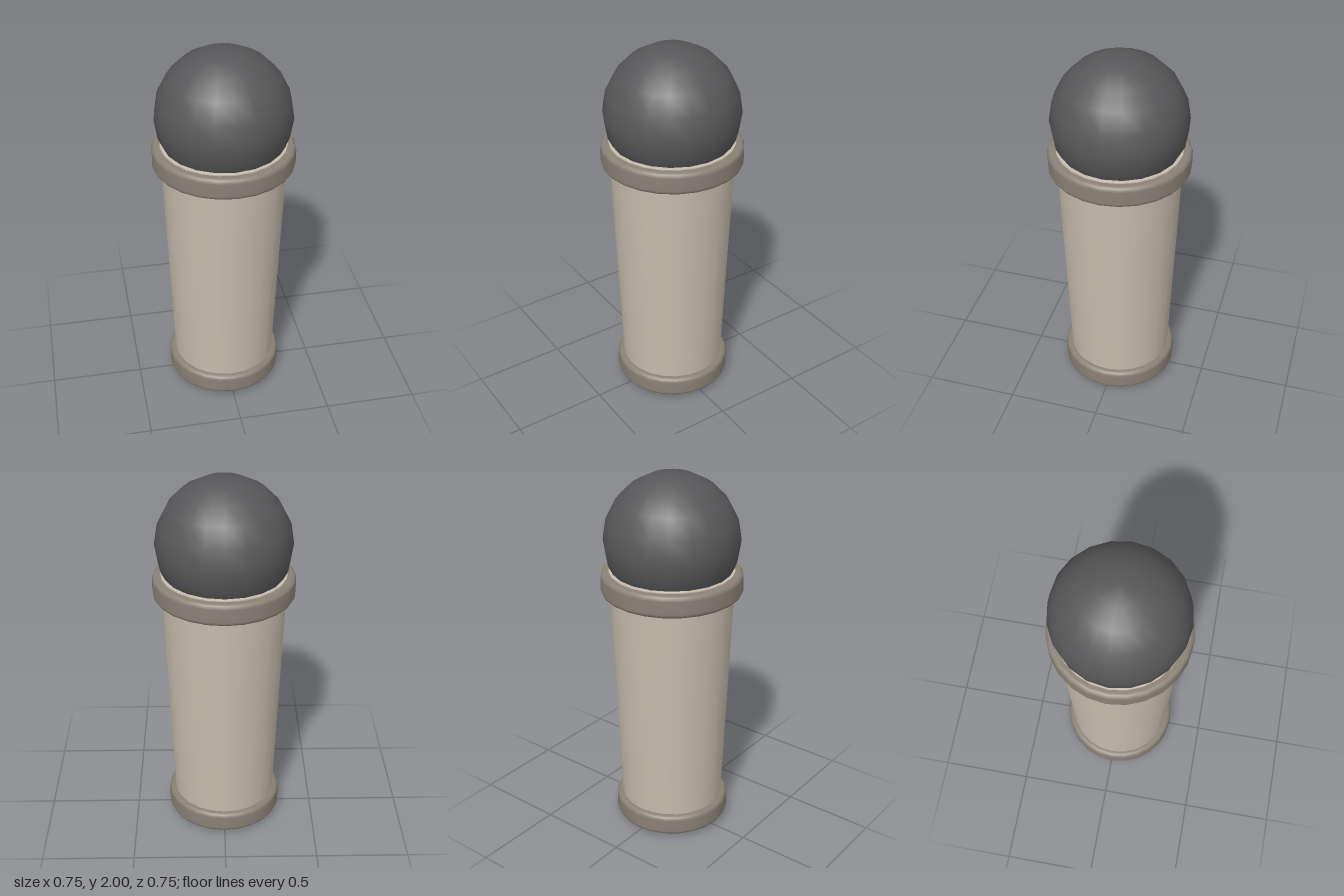
import * as THREE from 'three';

export function createModel() {
  const group = new THREE.Group();
  const add = (name, geometry, color, y = 0) => {
    const mesh = new THREE.Mesh(geometry, new THREE.MeshStandardMaterial({ color }));
    mesh.name = name;
    mesh.position.y = y;
    group.add(mesh);
  };

  // Lathe from [radius, y] points; flat caps get doubled points for crisp edges
  const lathe = (points, sides = 24) =>
    new THREE.LatheGeometry(points.map(([r, y]) => new THREE.Vector2(r, y)), sides);

  // Band with rounded outer corners, running from bottom to top
  const band = (inner, outer, bottom, top, round) => {
    const points = [[inner, bottom]];
    for (const [y, start] of [[bottom + round, -90], [top - round, 0]]) {
      for (let i = 0; i <= 4; i++) {
        const a = THREE.MathUtils.degToRad(start + i * 22.5);
        points.push([outer - round + round * Math.cos(a), y + round * Math.sin(a)]);
      }
    }
    points.push([inner, top]);
    return lathe(points);
  };

  // Tapered handle with a bevelled foot
  add('handle', lathe([
    [0, 0], [0.255, 0], [0.256, 0], [0.27, 0.007], [0.276, 0.02], [0.276, 0.022],
    [0.331, 1.475], [0.331, 1.485], [0.33, 1.487], [0.329, 1.487], [0, 1.487],
  ]), 0xc8bcae);

  // Bands around the foot and the neck
  add('bottomBand', band(0.27, 0.314, 0.02, 0.137, 0.025), 0x8a8175);
  add('topBand', band(0.32, 0.373, 1.36, 1.48, 0.025), 0x8a8175);

  // Ball head
  add('ballHead', new THREE.SphereGeometry(0.356, 20, 10), 0x58585a, 1.644);

  return group;
}
